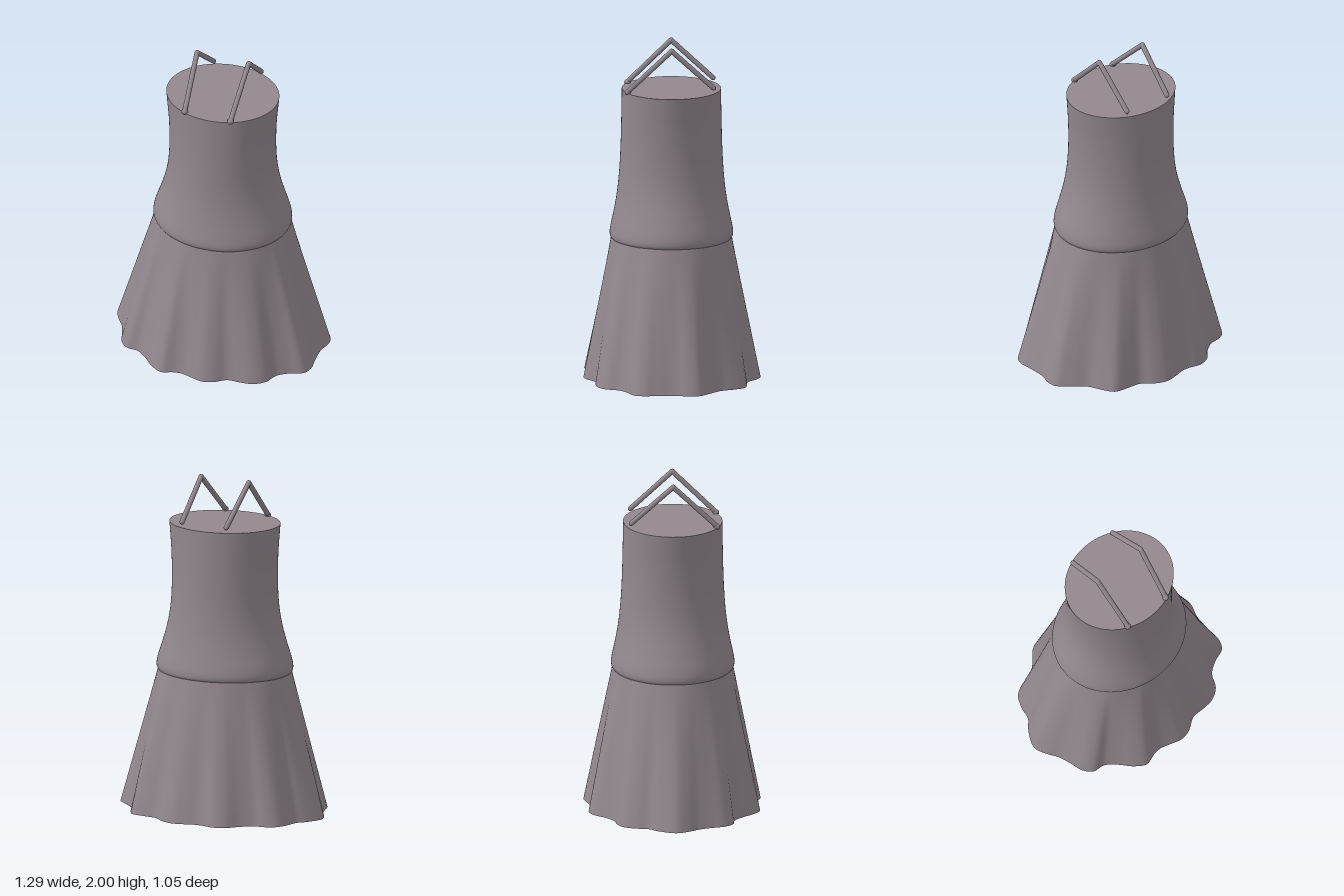
import * as THREE from 'three';

const SEG = 240;
const CX = 0.011; // the bodice sits slightly off centre

// Elliptical ring: [y, half width, half depth]
const ellipse = ([y, a, b]) => Array.from({ length: SEG }, (_, i) => {
  const t = Math.PI + (i / SEG) * Math.PI * 2;
  return new THREE.Vector3(CX + a * Math.cos(t), y, b * Math.sin(t));
});

// Smooth wall through a stack of closed rings, listed bottom to top
function loft(rings) {
  const pos = rings.flatMap((r) => r.flatMap((p) => [p.x, p.y, p.z]));
  const index = [];
  for (let j = 0; j < rings.length - 1; j++) {
    for (let i = 0; i < SEG; i++) {
      const a = j * SEG + i, b = j * SEG + (i + 1) % SEG;
      index.push(a, a + SEG, b, b, a + SEG, b + SEG);
    }
  }
  const g = new THREE.BufferGeometry();
  g.setAttribute('position', new THREE.Float32BufferAttribute(pos, 3));
  g.setIndex(index);
  g.computeVertexNormals();
  return g;
}

// Flat fan closing a ring
function cap(ring, up) {
  const pos = [CX, ring[0].y, 0, ...ring.flatMap((p) => [p.x, p.y, p.z])];
  const index = [];
  for (let i = 0; i < SEG; i++) {
    const a = 1 + i, b = 1 + (i + 1) % SEG;
    index.push(0, up ? b : a, up ? a : b);
  }
  const g = new THREE.BufferGeometry();
  g.setAttribute('position', new THREE.Float32BufferAttribute(pos, 3));
  g.setIndex(index);
  g.computeVertexNormals();
  return g;
}

// Wavy hem outline, x and z in hundredths
const HEM = [
  [-64.5, 1], [-60, -10], [-56, -15], [-54.5, -23], [-51.5, -30], [-46.5, -33.5], [-39.5, -35],
  [-32.5, -40], [-26, -47.5], [-19, -50], [-12, -48.8], [-7, -48.8], [0, -51], [7.5, -52.6],
  [15.5, -50], [22.5, -45], [31, -44.3], [39.5, -43], [44, -37], [48.5, -28.5], [57, -21.5],
  [63, -16], [64, -10], [62, -2], [62.5, 10], [63, 17], [60.5, 23], [53.5, 26], [46.5, 31],
  [42.5, 39.5], [36, 44], [29, 45], [20.5, 45.5], [14, 50], [7.5, 52], [0, 50.3], [-7, 48.5],
  [-12, 49], [-19, 51.3], [-26, 47.5], [-33, 40.5], [-39.5, 35.8], [-46.5, 35], [-51.5, 30],
  [-54, 22.5], [-57, 15], [-61.5, 8.5],
];

// Hem resampled so its points line up with the ellipse angles
function hemRing() {
  const curve = new THREE.CatmullRomCurve3(
    HEM.map(([x, z]) => new THREE.Vector3(x / 100, 0, z / 100)), true, 'centripetal');
  const dense = curve.getPoints(2400);
  const angle = (p) => Math.atan2(p.z / 0.5, (p.x - CX) / 0.62);
  const angles = dense.map(angle);
  return ellipse([0, 1, 1]).map((e) => {
    const t = Math.atan2(e.z, e.x - CX);
    let best = 0, err = Infinity;
    angles.forEach((a, k) => {
      const d = Math.abs(Math.atan2(Math.sin(a - t), Math.cos(a - t)));
      if (d < err) { err = d; best = k; }
    });
    return dense[best].clone();
  });
}

export function createModel() {
  const model = new THREE.Group();
  model.name = 'dress';
  const fabric = new THREE.MeshStandardMaterial({ color: 0x92888e });
  fabric.name = 'mauve grey fabric';
  const add = (geometry, name, parent = model) => {
    const mesh = new THREE.Mesh(geometry, fabric);
    mesh.name = name;
    parent.add(mesh);
    return mesh;
  };

  // Skirt: pleats fade from the hem up to the smooth hip line
  const hem = hemRing();
  const hip = ellipse([0.845, 0.405, 0.355]);
  const steps = 14;
  const skirt = Array.from({ length: steps + 1 }, (_, j) =>
    hem.map((p, i) => p.clone().lerp(hip[i], j / steps)));
  add(loft(skirt), 'skirt');
  add(cap(hem, false), 'skirtUnderside');

  // Bodice: fitted waist, with a small lip over the skirt
  const profile = [
    [0.835, 0.405, 0.355], [0.85, 0.414, 0.363], [0.875, 0.415, 0.364], [0.92, 0.405, 0.356],
    [1.0, 0.378, 0.339], [1.1, 0.348, 0.322], [1.2, 0.328, 0.311], [1.3, 0.319, 0.304],
    [1.42, 0.317, 0.299], [1.55, 0.322, 0.296], [1.65, 0.331, 0.294], [1.73, 0.339, 0.293],
  ];
  const path = new THREE.CatmullRomCurve3(profile.map(([y, a, b]) => new THREE.Vector3(a, y, b)));
  const bodice = path.getPoints(44).map((p) => ellipse([p.y, p.x, p.z]));
  add(loft(bodice), 'bodice');
  add(cap(bodice[bodice.length - 1], true), 'neckline');

  // Shoulder straps: two thin rods meeting at a peak, with rounded ends
  const R = 0.015;
  const rod = (from, to, name, parent) => {
    const dir = to.clone().sub(from);
    const mesh = add(new THREE.CapsuleGeometry(R, dir.length(), 6, 16), name, parent);
    mesh.position.copy(from).addScaledVector(dir, 0.5);
    mesh.quaternion.setFromUnitVectors(new THREE.Vector3(0, 1, 0), dir.normalize());
  };
  for (const side of [-1, 1]) {
    const strap = new THREE.Group();
    strap.name = side > 0 ? 'leftStrap' : 'rightStrap';
    const at = (x, y, z) => new THREE.Vector3(CX + side * x, y, z);
    const peak = at(0.162, 1.985, 0);
    rod(at(0.144, 1.738, 0.258), peak, 'strapFront', strap);
    rod(peak, at(0.15, 1.76, -0.247), 'strapBack', strap);
    const anchor = add(new THREE.SphereGeometry(0.019, 16, 12), 'strapAnchor', strap);
    anchor.position.copy(at(0.144, 1.735, 0.258));
    model.add(strap);
  }
  return model;
}
